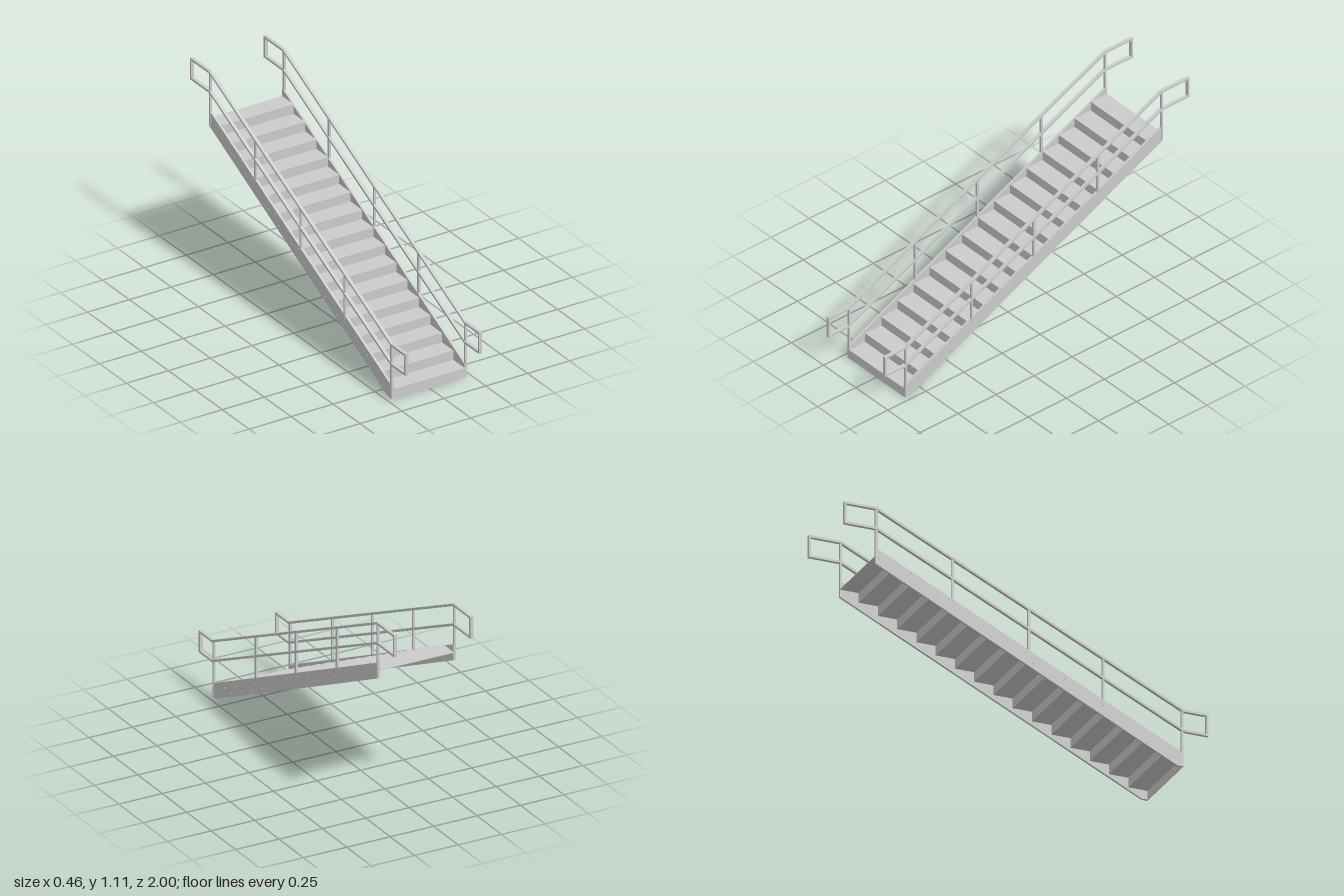
import * as THREE from 'three';

const STEPS = 16, RISE = 0.0529, RUN = 0.1058;
const FRONT = 0.865, BACK = -0.828;
const RAIL_X = 0.2197;      // centre plane of each railing
const mat = new THREE.MeshStandardMaterial({ color: 0xcccccc, flatShading: true });

// Extrude a side profile of [z, y] points across x, centred on the given x
function sidePlate(name, points, width, x = 0, hole = null) {
  const toVec = ([z, y]) => new THREE.Vector2(z, y);
  const shape = new THREE.Shape(points.map(toVec));
  if (hole) shape.holes.push(new THREE.Path(hole.map(toVec)));
  const geo = new THREE.ExtrudeGeometry(shape, { depth: width, bevelEnabled: false });
  geo.translate(0, 0, -width / 2);
  geo.rotateY(-Math.PI / 2);
  const mesh = new THREE.Mesh(geo, mat);
  mesh.name = name;
  mesh.position.x = x;
  return mesh;
}

// Mitred parallel of a closed [z, y] loop
function offsetLoop(points, d) {
  const n = points.length;
  const normal = (a, b) => {
    const dz = b[0] - a[0], dy = b[1] - a[1], l = Math.hypot(dz, dy);
    return [dy / l, -dz / l];
  };
  return points.map((p, i) => {
    const a = normal(points[(i + n - 1) % n], p);
    const b = normal(p, points[(i + 1) % n]);
    const k = d / (1 + a[0] * b[0] + a[1] * b[1]);
    return [p[0] + (a[0] + b[0]) * k, p[1] + (a[1] + b[1]) * k];
  });
}

// Folded sheet of risers and treads
function makeSteps() {
  const t = 0.004, upper = [[FRONT, 0]], lower = [[FRONT - t, 0]];
  for (let i = 0; i < STEPS; i++) {
    const z = FRONT - i * RUN, y = (i + 1) * RISE;
    const last = i === STEPS - 1;
    upper.push([z, y], [z - RUN, y]);
    lower.push([z - t, y - t], [z - RUN - (last ? 0 : t), y - t]);
  }
  return sidePlate('steps', [...upper, ...lower.reverse()], 0.424);
}

// Closed handrail and mid rail loop with its posts
function makeRailing(side) {
  const railing = new THREE.Group();
  railing.name = side > 0 ? 'leftRailing' : 'rightRailing';
  const loop = [
    [0.994, 0.197], [0.994, 0.307], [FRONT, 0.307], [BACK + 0.006, 1.107],
    [-0.994, 1.107], [-0.994, 0.997], [BACK + 0.006, 0.997], [FRONT, 0.197],
  ];
  railing.add(sidePlate('handrailLoop', offsetLoop(loop, 0.006), 0.0175, side * RAIL_X,
    offsetLoop(loop, -0.006)));

  const w = 0.0117;
  const posts = [[0.859, 0], [0.425, 0.27], [0.016, 0.47], [-0.404, 0.67], [-0.822, 0.805]];
  for (const [z, bottom] of posts) {
    const top = 0.307 + (FRONT - z) * 0.4742;
    const post = new THREE.Mesh(new THREE.BoxGeometry(w, top - bottom, w), mat);
    post.name = 'post';
    post.position.set(side * RAIL_X, (top + bottom) / 2, z);
    railing.add(post);
  }
  return railing;
}

// Sloping side plate with two bolt heads at each tread
function makeStringer(side) {
  const stringer = new THREE.Group();
  stringer.name = side > 0 ? 'leftStringer' : 'rightStringer';
  const outline = [[FRONT, 0], [FRONT, 0.073], [BACK, 0.89], [BACK, 0.802], [0.83, 0]];
  stringer.add(sidePlate('stringerPlate', outline, 0.0125, side * 0.2178));

  const boltGeo = new THREE.CylinderGeometry(0.004, 0.004, 0.005, 8);
  boltGeo.rotateZ(Math.PI / 2);
  for (let i = 0; i < STEPS; i++) {
    for (const dz of [0.018, 0.088]) {
      const bolt = new THREE.Mesh(boltGeo, mat);
      bolt.name = 'bolt';
      bolt.position.set(side * 0.2235, (i + 1) * RISE - 0.009, FRONT - i * RUN - dz);
      stringer.add(bolt);
    }
  }
  return stringer;
}

export function createModel() {
  const model = new THREE.Group();
  model.name = 'staircase';
  model.add(makeSteps());
  for (const side of [1, -1]) model.add(makeStringer(side), makeRailing(side));
  return model;
}
